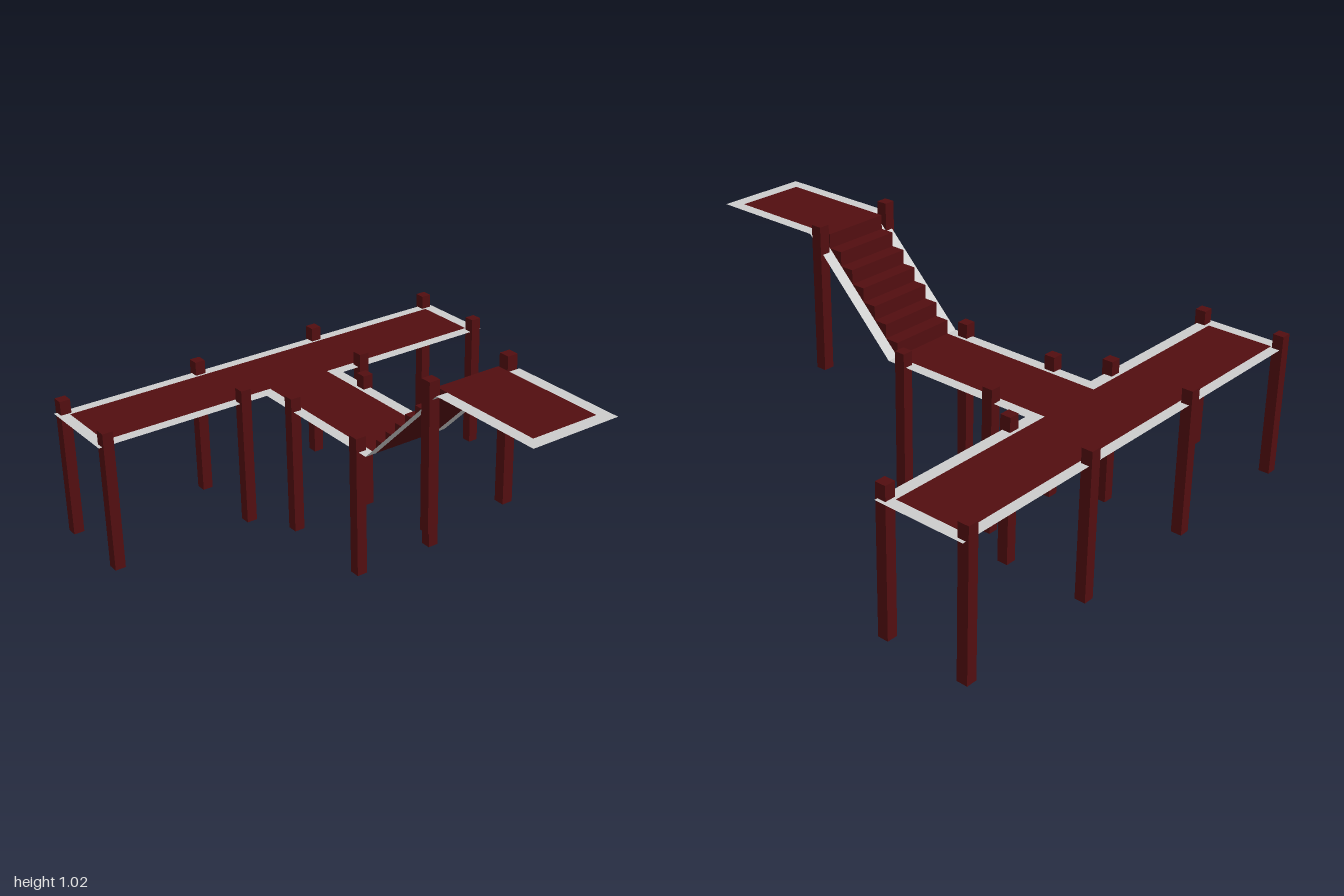
import * as THREE from 'three';

const wood = new THREE.MeshStandardMaterial({ color: 0x520e10, side: THREE.DoubleSide, flatShading: true });
const trim = new THREE.MeshStandardMaterial({ color: 0xcccccc, side: THREE.DoubleSide, flatShading: true });

const LOW = 0.555, HIGH = 0.97;          // deck heights
const Z0 = 0.078, Z1 = 0.498;            // foot and head of the stairs
const IN = 0.145, OUT = 0.194;           // half widths of walkway and its border

export function createModel() {
  const model = new THREE.Group();
  model.name = 'pier';
  model.position.x = -0.003;

  const add = (name, geometry, material, x = 0, y = 0, z = 0) => {
    const mesh = new THREE.Mesh(geometry, material);
    mesh.name = name;
    mesh.position.set(x, y, z);
    model.add(mesh);
    return mesh;
  };

  // Flat horizontal sheet from an outline of [x, z] points
  const sheet = (name, outline, y, material) => {
    const shape = new THREE.Shape(outline.map(([x, z]) => new THREE.Vector2(x, -z)));
    add(name, new THREE.ShapeGeometry(shape).rotateX(-Math.PI / 2), material, 0, y, 0);
  };
  // Right half of an outline joined to its mirror image
  const mirrored = (half) => [...half, ...half.map(([x, z]) => [-x, z]).reverse()];

  // A border runs along the outer outline and back along the inner one
  const deck = (name, inner, outer, y) => {
    const innerLoop = mirrored(inner), outerLoop = mirrored(outer);
    sheet(name + 'Boards', innerLoop, y, wood);
    sheet(name + 'Border', [...outerLoop, ...innerLoop.reverse()], y, trim);
  };

  // T-shaped lower deck, open towards the stairs
  deck('lowerDeck',
    [[IN, Z0], [IN, -0.655], [0.918, -0.655], [0.918, -0.945]],
    [[OUT, Z0], [OUT, -0.605], [0.968, -0.605], [0.968, -0.99]], LOW);

  // Raised landing
  deck('upperDeck', [[IN, Z1], [IN, 0.945]], [[OUT, Z1], [OUT, 1]], HIGH);

  // Wedge-shaped steps resting on one slope
  const count = 7, run = (Z1 - Z0) / count, rise = (HIGH - LOW) / count;
  const wedge = new THREE.Shape();
  wedge.moveTo(0, 0);
  wedge.lineTo(run, rise);
  wedge.lineTo(0, rise);
  wedge.closePath();
  const stepGeometry = new THREE.ExtrudeGeometry(wedge, { depth: 2 * IN, bevelEnabled: false })
    .translate(0, 0, -IN).rotateY(-Math.PI / 2);
  for (let i = 0; i < count; i++) add('step', stepGeometry, wood, 0, LOW + i * rise, Z0 + i * run);

  // Sloping borders either side of the steps
  const slope = Math.hypot(Z1 - Z0, HIGH - LOW);
  const angle = Math.atan2(HIGH - LOW, Z1 - Z0);
  for (const side of [-1, 1]) {
    add('stairBorder', new THREE.PlaneGeometry(OUT - IN, slope).rotateX(-Math.PI / 2 - angle), trim,
      side * (IN + OUT) / 2, (LOW + HIGH) / 2, (Z0 + Z1) / 2);
  }

  // Square posts in mirrored pairs: x, z, base height
  const postGeometry = new THREE.BoxGeometry(0.046, 0.615, 0.046);
  const posts = [
    [0.93, -0.978, 0], [0.3, -0.978, 0], [0.93, -0.618, 0], [0.3, -0.618, 0],
    [0.182, -0.432, 0], [0.182, 0.01, 0], [0.182, 0.451, 0.402],
  ];
  for (const [x, z, base] of posts) {
    for (const side of [-1, 1]) add('post', postGeometry, wood, side * x, base + 0.3075, z);
  }

  return model;
}
